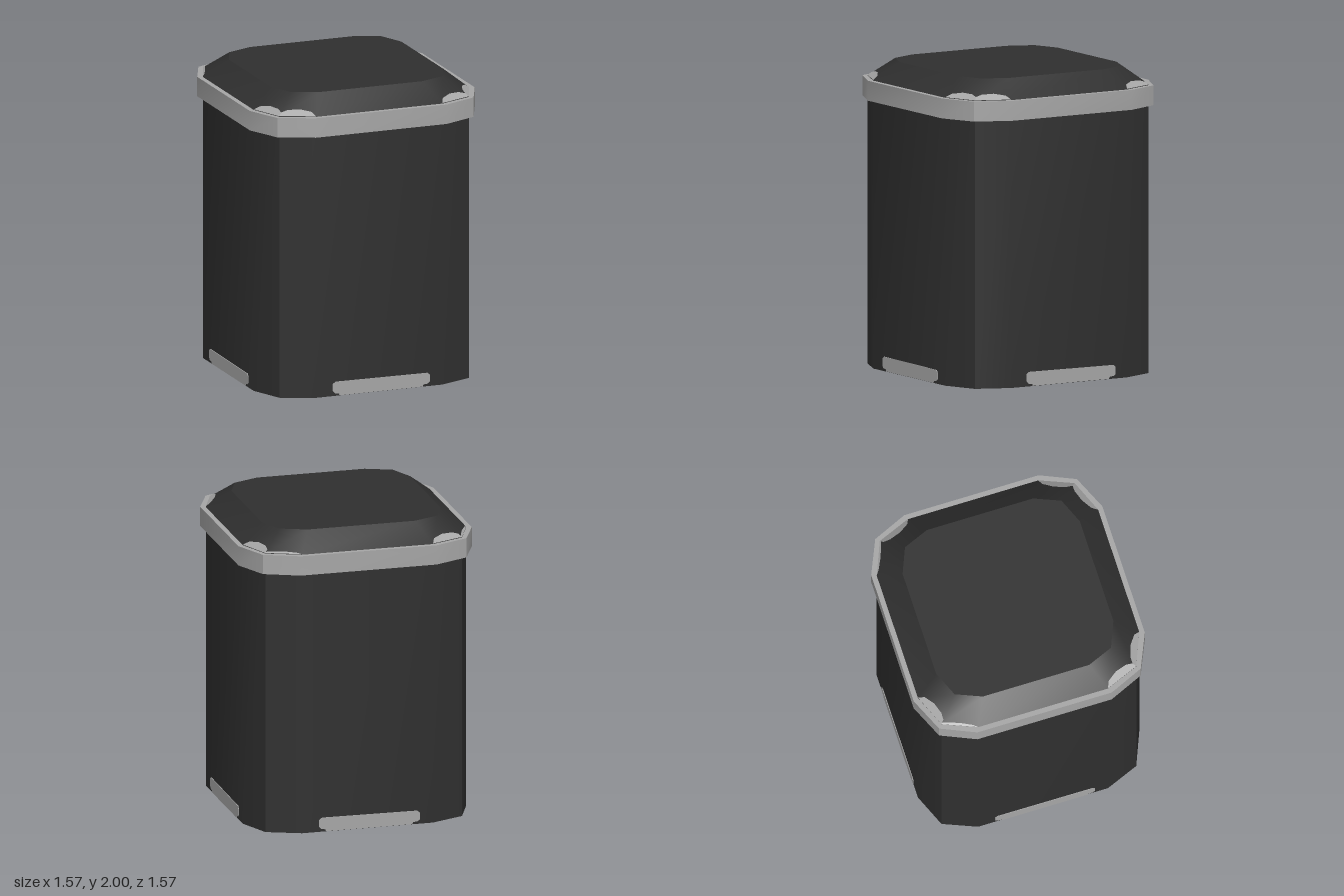
import * as THREE from 'three';
import { toCreasedNormals } from 'three/addons/utils/BufferGeometryUtils.js';

// Twelve-sided rounded square: w = half width, c = corner, e = end of the flat side
function loop(w, c, e, y) {
  const pts = [];
  for (let k = 0; k < 4; k++) {
    for (const [x, z] of [[w, e], [c, c], [e, w]]) {
      let px = x, pz = z;
      for (let i = 0; i < k; i++) [px, pz] = [-pz, px];
      pts.push(new THREE.Vector3(px, y, pz));
    }
  }
  return pts;
}

function fromTriangles(tris) {
  const g = new THREE.BufferGeometry().setFromPoints(tris);
  return toCreasedNormals(g, 0.6);
}

// Skin a stack of loops, optionally closing the two ends
function loft(loops, capBottom, capTop) {
  const tris = [];
  const n = loops[0].length;
  for (let s = 0; s < loops.length - 1; s++) {
    const lo = loops[s], hi = loops[s + 1];
    for (let i = 0; i < n; i++) {
      const j = (i + 1) % n;
      tris.push(lo[i], hi[i], lo[j], lo[j], hi[i], hi[j]);
    }
  }
  const cap = (l, up) => {
    const mid = new THREE.Vector3(0, l[0].y, 0);
    for (let i = 0; i < n; i++) {
      const j = (i + 1) % n;
      if (up) tris.push(mid, l[j], l[i]);
      else tris.push(mid, l[i], l[j]);
    }
  };
  if (capBottom) cap(loops[0], false);
  if (capTop) cap(loops[loops.length - 1], true);
  return fromTriangles(tris);
}

// Thin crescent lying along the lower edge of one sloping lid facet
function crescent(p0, p1, q0, q1, heights) {
  const lift = new THREE.Vector3(0, 0.004, 0);
  const us = [0, 0.15, 0.5, 0.85, 1];
  const at = (u, v) => p0.clone().lerp(p1, u).lerp(q0.clone().lerp(q1, u), v).add(lift);
  const tris = [];
  for (let i = 0; i < us.length - 1; i++) {
    const a = at(us[i], 0), b = at(us[i + 1], 0);
    const d = at(us[i], heights[i]), c = at(us[i + 1], heights[i + 1]);
    tris.push(a, d, b, b, d, c);
  }
  return fromTriangles(tris);
}

export function createModel() {
  const dark = new THREE.MeshStandardMaterial({ color: 0x2f2f2f });
  dark.name = 'charcoal';
  const silver = new THREE.MeshStandardMaterial({ color: 0xa6a6a6 });
  silver.name = 'silver';

  const model = new THREE.Group();
  model.name = 'bin';
  const add = (name, geometry, material) => {
    const mesh = new THREE.Mesh(geometry, material);
    mesh.name = name;
    model.add(mesh);
    return mesh;
  };

  // Body
  add('body', loft([loop(0.75, 0.66, 0.44, 0), loop(0.75, 0.66, 0.44, 1.8)], true, false), dark);

  // Rim band around the top
  add('rim', loft([
    loop(0.74, 0.65, 0.435, 1.75), loop(0.783, 0.683, 0.455, 1.75),
    loop(0.783, 0.683, 0.455, 1.88), loop(0.74, 0.65, 0.435, 1.88),
  ], false, false), silver);

  // Bevelled lid
  const low = loop(0.75, 0.66, 0.44, 1.88), high = loop(0.6, 0.53, 0.36, 2);
  add('lid', loft([low, high], false, true), dark);

  // Silver crescents at the lid corners, two per corner
  const size = [[1, 1], [1, 1], [0.3, 1], [0.3, 1]];
  const rise = [0, 0.18, 0.28, 0.25, 0.15];
  for (let k = 0; k < 4; k++) {
    for (let f = 0; f < 2; f++) {
      const i = 3 * k + f;
      const heights = rise.map((v) => v * size[k][f]);
      if (f === 1) heights.reverse();
      add('lidCornerTrim', crescent(low[i], low[i + 1], high[i], high[i + 1], heights), silver);
    }
  }

  // Base plate insert on each side
  const plate = new THREE.Shape([
    [-0.28, 0.002], [0.3, 0.002], [0.305, 0.015], [0.335, 0.018], [0.35, 0.03], [0.35, 0.075],
    [0.335, 0.09], [-0.305, 0.095], [-0.325, 0.08], [-0.325, 0.035], [-0.31, 0.018], [-0.28, 0.015],
  ].map(([x, y]) => new THREE.Vector2(x, y)));
  const plateGeometry = new THREE.ExtrudeGeometry(plate, { depth: 0.006, bevelEnabled: false });
  plateGeometry.translate(0, 0, 0.748);
  for (let k = 0; k < 4; k++) {
    add('basePlate', plateGeometry, silver).rotation.y = (k * Math.PI) / 2;
  }
  return model;
}
